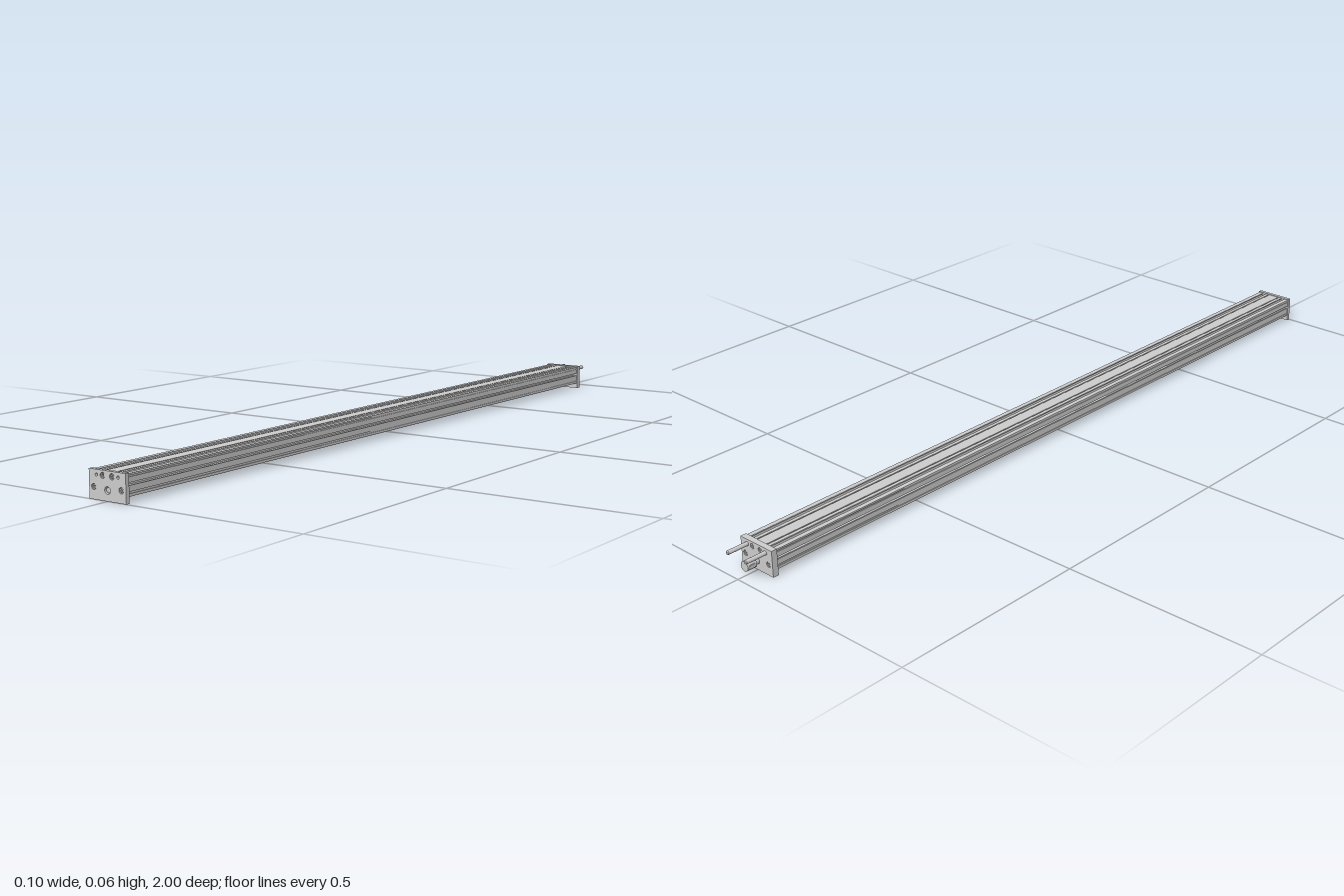
import * as THREE from 'three';

const grey = new THREE.MeshStandardMaterial({ color: 0xcccccc, side: THREE.DoubleSide });

export function createModel() {
  const model = new THREE.Group();
  const SHAFT_Y = 0.023;

  function add(name, geometry, x = 0, y = 0, z = 0, parent = model) {
    const mesh = new THREE.Mesh(geometry, grey);
    mesh.name = name;
    mesh.position.set(x, y, z);
    parent.add(mesh);
    return mesh;
  }
  const extrude = (shape, depth) =>
    new THREE.ExtrudeGeometry(shape, { depth, bevelEnabled: false, curveSegments: 12 });
  // Cylinder lying along z
  const rod = (r, length, sides = 24) =>
    new THREE.CylinderGeometry(r, r, length, sides).rotateX(Math.PI / 2);
  const hole = (x, y, r) => new THREE.Path().absarc(x, y, r, 0, Math.PI * 2, true);

  // Slotted rail: half a cross-section, from top centre round to the channel roof
  const half = [
    [0.015, 0.062], [0.015, 0.059], [0.018, 0.059], [0.018, 0.062], // shallow top groove
    [0.027, 0.062], [0.027, 0.059], [0.023, 0.059], [0.023, 0.051], [0.027, 0.047],
    [0.037, 0.047], [0.041, 0.051], [0.041, 0.059], [0.037, 0.059], [0.037, 0.062], // top T-slot
    [0.049, 0.062], [0.049, 0.058], [0.047, 0.058], [0.047, 0.055], [0.049, 0.055],
    [0.049, 0.043], [0.046, 0.043], [0.046, 0.046], [0.042, 0.046], [0.039, 0.043],
    [0.039, 0.037], [0.042, 0.034], [0.046, 0.034], [0.046, 0.037], [0.049, 0.037], // side T-slot
    [0.049, 0.024], [0.047, 0.024], [0.047, 0.020], [0.049, 0.020],
    [0.049, 0.014], [0.042, 0.014], [0.042, 0.018], [0.034, 0.018], [0.034, 0.014], // foot
    [0.022, 0.014], [0.022, 0.019], [0.027, 0.019], [0.027, 0.038], [0.022, 0.042],
  ];
  const outline = [...half, ...half.map(([x, y]) => [-x, y]).reverse()];
  const railShape = new THREE.Shape(outline.map(([x, y]) => new THREE.Vector2(x, y)));
  add('rail', extrude(railShape, 1.92), 0, 0, -0.93);

  // End plates with bores and recessed socket screws
  const screws = [[0.013, 0.053], [0.038, 0.027], [-0.013, 0.053], [-0.038, 0.027]];
  const plateShape = new THREE.Shape([
    [-0.051, 0], [0.051, 0], [0.051, 0.064], [-0.051, 0.064],
  ].map(([x, y]) => new THREE.Vector2(x, y)));
  plateShape.holes.push(hole(0, SHAFT_Y, 0.008), hole(0.03, 0.053, 0.0035), hole(-0.03, 0.053, 0.0035));
  screws.forEach(([x, y]) => plateShape.holes.push(hole(x, y, 0.0065)));

  const headShape = new THREE.Shape().absarc(0, 0, 0.0052, 0, Math.PI * 2);
  const hexPoints = Array.from({ length: 6 }, (_, i) => {
    const a = -i * Math.PI / 3;
    return new THREE.Vector2(0.0029 * Math.cos(a), 0.0029 * Math.sin(a));
  });
  headShape.holes.push(new THREE.Path(hexPoints));

  for (const [name, z, depth, dir] of [['front', 0.99, 0.01, 1], ['back', -0.945, 0.015, -1]]) {
    const end = new THREE.Group();
    end.name = name + 'End';
    model.add(end);
    add(name + 'Plate', extrude(plateShape, depth), 0, 0, z, end);
    const face = dir > 0 ? z + depth : z;
    for (const [x, y] of screws) {
      add(name + 'ScrewHead', extrude(headShape, 0.006), x, y, dir > 0 ? face - 0.007 : face + 0.001, end);
      add(name + 'ScrewCore', rod(0.0065, 0.002), x, y, face - dir * 0.008, end);
    }
  }

  // Drive shaft running through the open channel
  add('driveShaft', rod(0.0055, 1.965), 0, SHAFT_Y, 0.0145);

  // Shaft coupling behind the back plate
  add('couplingCollar', rod(0.008, 0.014), 0, SHAFT_Y, -0.952);
  add('couplingHub', rod(0.012, 0.025), 0, SHAFT_Y, -0.9675);
  add('couplingClamp', new THREE.BoxGeometry(0.026, 0.009, 0.014), 0, SHAFT_Y, -0.968);

  // Guide pins projecting from the back
  for (const s of [1, -1]) {
    add('guidePin', rod(0.005, 0.068), s * 0.03, 0.053, -0.964);
    add('guidePinTip', new THREE.CylinderGeometry(0.005, 0.0035, 0.002, 24).rotateX(Math.PI / 2), s * 0.03, 0.053, -0.999);
  }
  return model;
}
